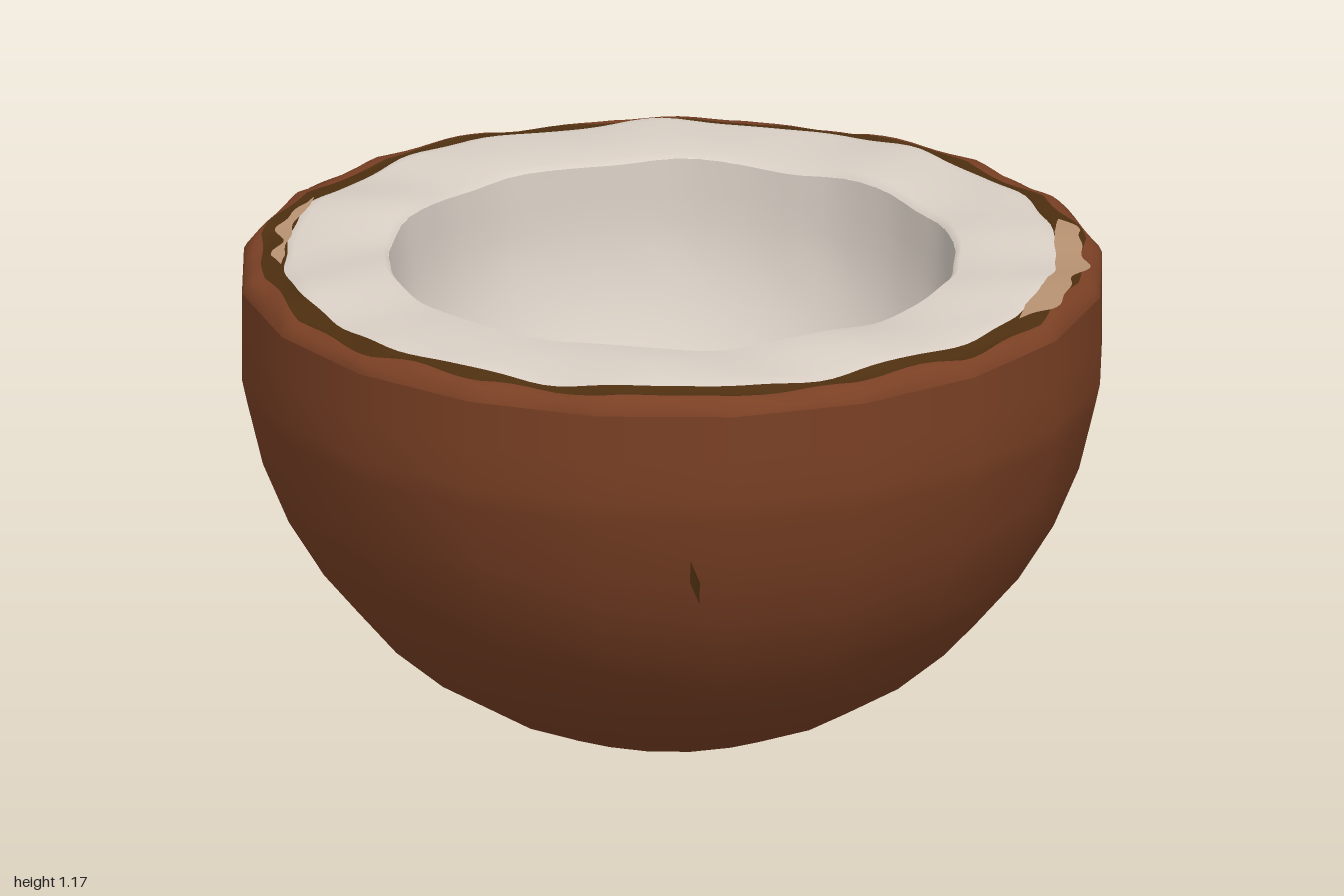
import * as THREE from 'three';

const material = (name, color) => {
  const m = new THREE.MeshStandardMaterial({ color });
  m.name = name;
  return m;
};

// Smooth periodic unevenness, roughly between -1 and 1
const ripple = (t, a, b, phase = 0) =>
  0.6 * Math.sin(a * t + phase) + 0.4 * Math.sin(b * t + 2.1 * phase + 1);

// Radius factor that turns a circle into the husk's twenty-sided outline
const SIDE = Math.PI / 10;
const facet = (t) => Math.cos(SIDE / 2) / Math.cos((((t % SIDE) + SIDE) % SIDE) - SIDE / 2);

// Skin over rings, each a function angle -> [radius, height], listed outside to inside.
// Angle 0 is the front, a quarter turn is +x.
function ringSkin(rings, segments = 160, start = 0, sweep = Math.PI * 2) {
  const full = sweep > 6.28;
  const columns = full ? segments : segments + 1;
  const positions = [];
  const indices = [];
  rings.forEach((ring) => {
    for (let i = 0; i < columns; i++) {
      const t = start + (sweep * i) / segments;
      const [r, y] = ring(t);
      positions.push(r * Math.sin(t), y, r * Math.cos(t));
    }
  });
  for (let j = 0; j < rings.length - 1; j++) {
    for (let i = 0; i < segments; i++) {
      const a = j * columns + i;
      const b = j * columns + ((i + 1) % columns);
      indices.push(a, b, a + columns, b, b + columns, a + columns);
    }
  }
  const geometry = new THREE.BufferGeometry();
  geometry.setAttribute('position', new THREE.Float32BufferAttribute(positions, 3));
  geometry.setIndex(indices);
  geometry.computeVertexNormals();
  return geometry;
}

export function createModel() {
  const group = new THREE.Group();
  const husk = material('husk brown', 0x7a4024);
  const shell = material('dark shell', 0x4e2f10);
  const tan = material('tan fibre', 0xb89272);
  const flesh = material('white flesh', 0xd9cfc5);
  shell.side = tan.side = THREE.DoubleSide;

  const add = (name, geometry, mat) => {
    const mesh = new THREE.Mesh(geometry, mat);
    mesh.name = name;
    group.add(mesh);
    return mesh;
  };

  // Round outer husk with a short upright wall at the top
  const profile = [];
  for (let i = 0; i <= 9; i++) {
    const a = (i * Math.PI) / 20;
    profile.push(new THREE.Vector2(Math.sin(a), 1 - Math.cos(a)));
  }
  profile.push(new THREE.Vector2(1, 0.9), new THREE.Vector2(1, 1), new THREE.Vector2(1, 1.11));
  add('husk', new THREE.LatheGeometry(profile, 20), husk);

  // Broken edge of the husk, bevelled inwards
  const huskEdge = (t) => [
    (0.955 + 0.014 * ripple(t, 7, 19, 0.5)) * facet(t),
    1.146 + 0.008 * ripple(t, 10, 23),
  ];
  const fleshEdge = (t) => [
    0.912 - 0.02 * Math.sin(t) ** 2 + 0.008 * ripple(t, 11, 27, 2),
    1.154 + 0.009 * ripple(t, 10, 17),
  ];
  add('huskLip', ringSkin([
    (t) => [facet(t), 1.11],
    (t) => [0.993 * facet(t), 1.127 + 0.006 * ripple(t, 9, 23, 1)],
    (t) => [0.975 * facet(t), 1.142 + 0.008 * ripple(t, 10, 23)],
    huskEdge,
  ]), husk);

  // Dark shell layer between husk and flesh
  add('shellRing', ringSkin([
    huskEdge,
    (t) => [0.935 * facet(t), 1.144 + 0.006 * ripple(t, 10, 31, 1)],
    fleshEdge,
  ]), shell);

  // White cut face, rippled around the rim
  const rimInner = (t) => [0.668 + 0.005 * ripple(t, 10, 21), 1.163 + 0.009 * ripple(t, 10, 7, 1)];
  add('fleshRim', ringSkin([
    fleshEdge,
    (t) => [0.87, 1.163 + 0.009 * ripple(t, 10, 17)],
    (t) => [0.77, 1.163 + 0.01 * ripple(t, 10, 7, 0.5)],
    rimInner,
    (t) => [rimInner(t)[0] - 0.014, rimInner(t)[1] - 0.014],
  ]), flesh);

  // Hollow: a half sphere whose top edge follows the rim
  const R = 0.65;
  const centreY = 1.07;
  const bowlRings = [(t) => [rimInner(t)[0] - 0.014, rimInner(t)[1] - 0.014]];
  for (let i = 0; i <= 16; i++) {
    const a = (i / 16) * (Math.PI / 2);
    bowlRings.push((t) => [
      R * Math.cos(a) + (i < 3 ? 0.003 * ripple(t, 10, 21) : 0),
      centreY - R * Math.sin(a),
    ]);
  }
  add('hollow', ringSkin(bowlRings, 80), flesh);

  // Tan fibre showing along the rim; ends taper to nothing
  const fibre = (name, mid, sweep, outer, inner) => {
    const taper = (t) => Math.min(1, 4 * (1 - Math.abs(t - mid) / (sweep / 2)));
    const edge = (r, roughness, phase) => (t) => [
      (outer + inner) / 2 + (r - (outer + inner) / 2) * taper(t) +
        roughness * taper(t) * ripple(t, 23, 41, phase),
      1.16 + 0.006 * ripple(t, 10, 17),
    ];
    add(name, ringSkin([edge(outer, 0.018, 1), edge(inner, 0.006, 2)], 48, mid - sweep / 2, sweep), tan);
  };
  fibre('rightFibre', Math.PI / 2 + 0.04, 0.76, 0.95, 0.885);
  fibre('leftFibre', -Math.PI / 2, 0.5, 0.915, 0.89);

  // Small marks at the bottom of the hollow
  const floorRing = (r) => () => [r, centreY - Math.sqrt(R * R - r * r) + 0.006];
  add('floorRing', ringSkin([floorRing(0.07), floorRing(0.05)], 32, Math.PI * 0.85, Math.PI * 1.3), tan);
  add('floorMark', ringSkin([floorRing(0.063), floorRing(0.057)], 8, 1.4, 0.5), shell);

  // Thin dark cracks lying on the husk
  const crack = (angle, low, high, width, lean) => {
    const at = (y, offset) => {
      const r = Math.sqrt(1 - (1 - y) ** 2) * 0.998;
      const t = angle + offset;
      return [r * Math.sin(t), y, r * Math.cos(t)];
    };
    const middle = (low + high) / 2;
    const geometry = new THREE.BufferGeometry();
    geometry.setAttribute('position', new THREE.Float32BufferAttribute([
      ...at(low, lean), ...at(middle, width), ...at(high, -lean), ...at(middle, -width),
    ], 3));
    geometry.setIndex([0, 1, 2, 0, 2, 3]);
    geometry.computeVertexNormals();
    add('huskCrack', geometry, shell);
  };
  crack(0.228, 0.63, 0.75, 0.012, 0.012);
  crack(2.57, 0.26, 0.31, 0.007, 0);

  return group;
}
